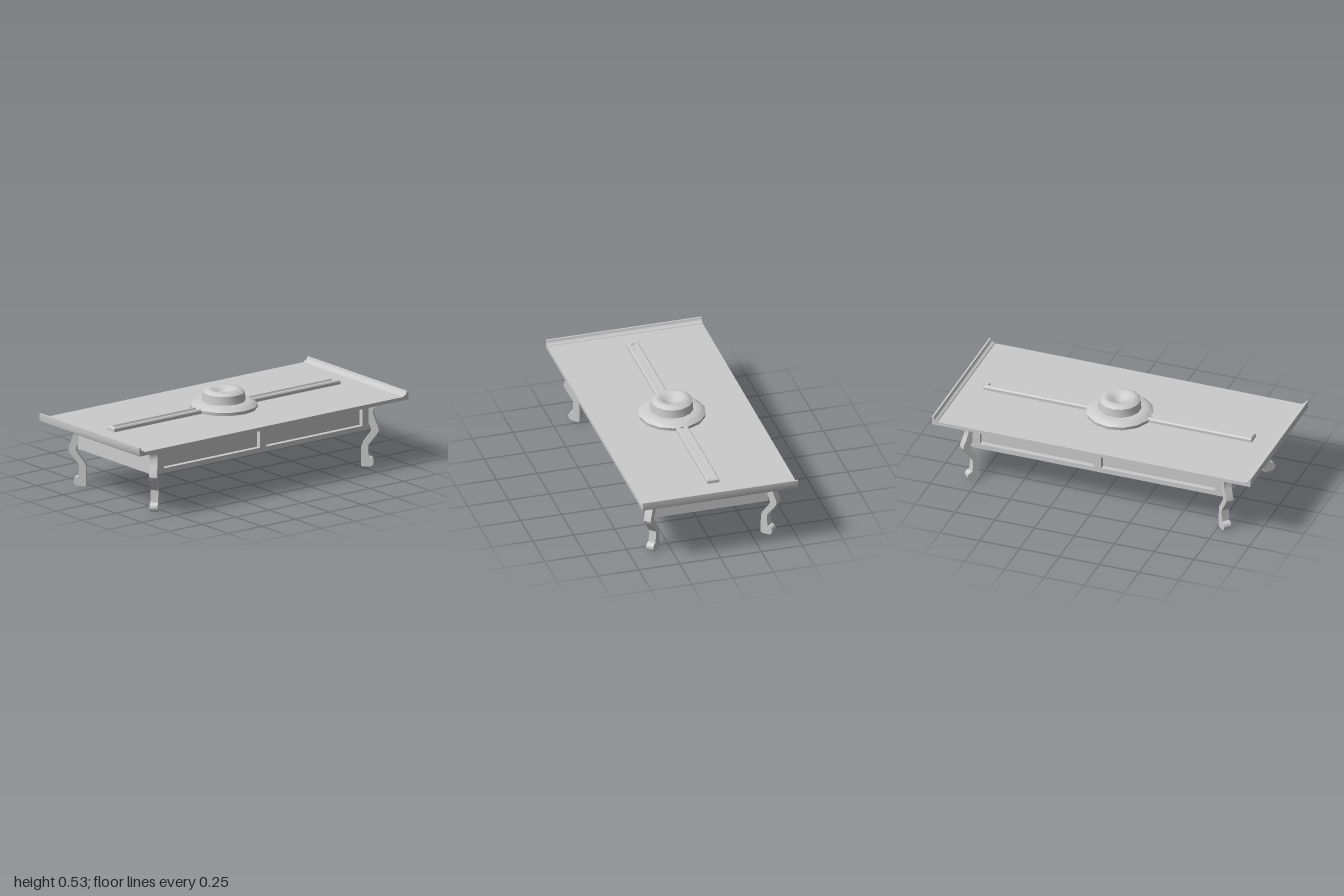
import * as THREE from 'three';
import { toCreasedNormals } from 'three/addons/utils/BufferGeometryUtils.js';

const grey = new THREE.MeshStandardMaterial({ color: 0xcccccc });

function part(name, geometry, crease = 0.6) {
  const mesh = new THREE.Mesh(toCreasedNormals(geometry, crease), grey);
  mesh.name = name;
  return mesh;
}

const shapeOf = pts => new THREE.Shape(pts.map(([x, y]) => new THREE.Vector2(x, y)));

const extrude = (shape, depth) =>
  new THREE.ExtrudeGeometry(shape, { depth, bevelEnabled: false, curveSegments: 8 });

// Closed outline from its +x half, listed from bottom to top
const mirrored = half => [...half, ...half.slice().reverse().map(([x, y]) => [-x, y])];

// Table top: one profile with raised lips, swept along z
function tableTop() {
  const half = [
    [0.995, 0.394], [1, 0.402], [1, 0.445], [0.989, 0.445],
    [0.986, 0.434], [0.979, 0.425], [0.967, 0.422], [0.963, 0.416],
  ];
  return part('tableTop', extrude(shapeOf(mirrored(half)), 0.95).translate(0, 0, -0.475), 0.7);
}

// Apron layer: chamfered rectangle in plan, optionally notched for two panels front and back
function apronLayer(name, y0, y1, notched) {
  const X = 0.815, Z = 0.375, c = 0.03, d = 0.345;
  const frontEdge = [[-X + c, Z]];
  if (notched) {
    for (const [a, b] of [[-0.737, -0.024], [0.024, 0.737]]) {
      frontEdge.push([a, Z], [a, d], [b, d], [b, Z]);
    }
  }
  frontEdge.push([X - c, Z], [X, Z - c]);
  const outline = [[-X, Z - c], ...frontEdge];
  outline.push(...outline.map(([x, z]) => [-x, -z]));
  const geometry = extrude(shapeOf(outline), y1 - y0).rotateX(-Math.PI / 2).translate(0, y0, 0);
  return part(name, geometry, 0.3);
}

// Curved leg with a scroll foot, set diagonally on a corner
function leg(sx, sz) {
  const k = Math.SQRT2, width = 0.047, r = 0.0275;
  const outer = [
    [0.405, 0.396], [0.392, 0.375], [0.381, 0.356], [0.377, 0.33], [0.387, 0.285], [0.399, 0.245],
    [0.402, 0.222], [0.393, 0.198], [0.372, 0.16], [0.356, 0.128], [0.357, 0.09], [0.36, 0.055],
  ];
  const inner = [
    [0.332, 0], [0.3265, 0.008], [0.3265, 0.07], [0.328, 0.125], [0.333, 0.142], [0.355, 0.185],
    [0.371, 0.22], [0.366, 0.245], [0.354, 0.28], [0.352, 0.396],
  ];
  const shape = new THREE.Shape();
  outer.forEach(([x, y], i) => (i ? shape.lineTo(x * k, y) : shape.moveTo(x * k, y)));
  shape.absarc(0.3606 * k, r, r, Math.PI / 2, -Math.PI / 2, true);
  inner.forEach(([x, y]) => shape.lineTo(x * k, y));
  shape.closePath();

  const mesh = part('leg', extrude(shape, width).translate(0, 0, -width / 2));
  mesh.rotation.y = -Math.atan2(sz, sx);
  mesh.position.x = sx * 0.44;
  return mesh;
}

// Long runner with sloped sides and a shallow groove: nested rectangles joined by rings
function runner() {
  const rings = [
    [0.84, 0.036, 0.41], [0.84, 0.036, 0.434], [0.833, 0.03, 0.442],
    [0.82, 0.016, 0.442], [0.815, 0.011, 0.43],
  ];
  const pos = [], index = [];
  for (const [x, z, y] of rings) pos.push(-x, y, z, x, y, z, x, y, -z, -x, y, -z);
  for (let i = 0; i < rings.length - 1; i++) {
    for (let j = 0; j < 4; j++) {
      const a = i * 4 + j, b = i * 4 + (j + 1) % 4;
      index.push(a, b, b + 4, a, b + 4, a + 4);
    }
  }
  const n = (rings.length - 1) * 4;
  index.push(n, n + 1, n + 2, n, n + 2, n + 3);
  const geometry = new THREE.BufferGeometry();
  geometry.setAttribute('position', new THREE.Float32BufferAttribute(pos, 3));
  geometry.setIndex(index);
  geometry.translate(0, 0, -0.004);
  return part('runner', geometry.toNonIndexed(), 0.3);
}

// Round centrepiece: flared base, drum and dished top
function centrepiece() {
  const profile = [
    [0.196, 0.41], [0.2, 0.436], [0.187, 0.446], [0.165, 0.459], [0.127, 0.46],
    [0.123, 0.512], [0.101, 0.53], [0.078, 0.53], [0.05, 0.514], [0.025, 0.5], [0, 0.495],
  ].map(([x, y]) => new THREE.Vector2(x, y));
  return part('centrepiece', new THREE.LatheGeometry(profile, 14), 0.75);
}

export function createModel() {
  const model = new THREE.Group();
  model.name = 'lowTable';
  model.add(tableTop(), runner(), centrepiece());

  const apron = new THREE.Group();
  apron.name = 'apron';
  apron.add(
    apronLayer('bottomRail', 0.226, 0.256, false),
    apronLayer('panels', 0.256, 0.385, true),
    apronLayer('topRail', 0.385, 0.395, false),
  );
  model.add(apron);

  const legs = new THREE.Group();
  legs.name = 'legs';
  for (const sx of [-1, 1]) for (const sz of [-1, 1]) legs.add(leg(sx, sz));
  model.add(legs);
  return model;
}
